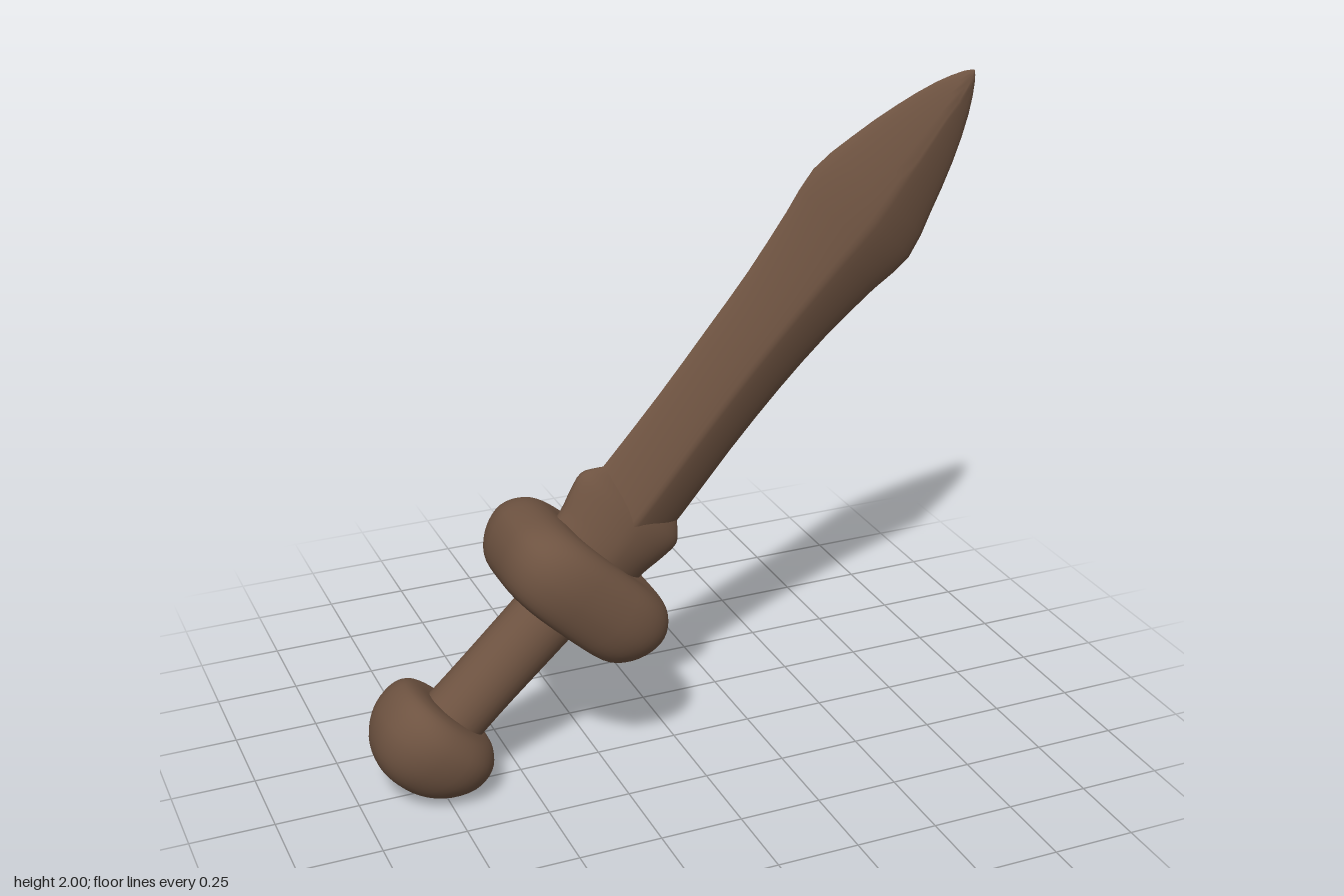
import * as THREE from 'three';
import { toCreasedNormals } from 'three/addons/utils/BufferGeometryUtils.js';

// Lofts superellipse rings along +y. Each section is [y, left reach, right reach, half depth].
function loft(sections, { power = 2, sides = 40, steps = 1 } = {}) {
  const last = sections.length - 1;
  const spine = new THREE.CatmullRomCurve3(sections.map(([y, l, r]) => new THREE.Vector3(y, l, r)));
  const depth = new THREE.CatmullRomCurve3(sections.map(([y, , , d]) => new THREE.Vector3(y, d, 0)));
  const rings = last * steps;
  const curve = (v) => Math.sign(v) * Math.abs(v) ** (2 / power);
  const pos = [], idx = [];
  for (let i = 0; i <= rings; i++) {
    const p = spine.getPoint(i / rings), d = depth.getPoint(i / rings).y;
    const mid = (p.z - p.y) / 2, half = (p.y + p.z) / 2;
    for (let j = 0; j < sides; j++) {
      const a = (j / sides) * Math.PI * 2;
      pos.push(mid + half * curve(Math.cos(a)), p.x, d * curve(Math.sin(a)));
    }
  }
  for (let i = 0; i < rings; i++) {
    for (let j = 0; j < sides; j++) {
      const k = (j + 1) % sides;
      const a = i * sides + j, b = a + sides, c = i * sides + k, e = c + sides;
      idx.push(a, b, c, b, e, c);
    }
  }
  const geo = new THREE.BufferGeometry();
  geo.setAttribute('position', new THREE.Float32BufferAttribute(pos, 3));
  geo.setIndex(idx);
  geo.computeVertexNormals();
  return geo;
}

export function createModel() {
  const brown = new THREE.MeshStandardMaterial({ color: 0x6e5341 });
  brown.name = 'brown';
  const sword = new THREE.Group();
  sword.name = 'sword';
  const add = (name, geo) => {
    const mesh = new THREE.Mesh(geo, brown);
    mesh.name = name;
    sword.add(mesh);
  };

  // Domed pommel with a flatter upper face
  add('pommel', loft([
    [-0.148, 0.002, 0.002, 0.002],
    [-0.138, 0.07, 0.08, 0.075],
    [-0.095, 0.132, 0.155, 0.135],
    [-0.02, 0.172, 0.208, 0.176],
    [0.05, 0.175, 0.208, 0.182],
    [0.098, 0.155, 0.172, 0.155],
    [0.115, 0.11, 0.125, 0.11],
    [0.108, 0.03, 0.05, 0.04],
  ], { power: 2.3, steps: 4 }));

  // Round grip
  add('grip', loft([
    [0.05, 0.08, 0.122, 0.098],
    [0.2, 0.07, 0.128, 0.095],
    [0.38, 0.062, 0.142, 0.093],
    [0.6, 0.052, 0.158, 0.096],
  ], { sides: 28, steps: 3 }));

  // Chunky rounded guard
  add('guard', loft([
    [0.52, 0.02, 0.1, 0.05],
    [0.508, 0.13, 0.225, 0.155],
    [0.53, 0.19, 0.285, 0.2],
    [0.6, 0.236, 0.337, 0.232],
    [0.67, 0.244, 0.348, 0.234],
    [0.73, 0.205, 0.312, 0.212],
    [0.758, 0.14, 0.245, 0.165],
    [0.745, 0.03, 0.11, 0.06],
  ], { power: 3.2, sides: 56, steps: 4 }));

  // Flared collar at the foot of the blade
  add('bladeCollar', loft([
    [0.68, 0.125, 0.205, 0.1],
    [0.78, 0.135, 0.215, 0.102],
    [0.84, 0.153, 0.232, 0.095],
    [0.9, 0.164, 0.242, 0.078],
    [0.94, 0.135, 0.212, 0.05],
    [0.99, 0.08, 0.15, 0.01],
  ], { power: 1.7, steps: 3 }));

  // Leaf-shaped blade with a central ridge and sharp edges
  const outline = [
    [0.8, 0.12, 0.195, 0.09],
    [0.98, 0.122, 0.194, 0.083],
    [1.22, 0.13, 0.181, 0.078],
    [1.45, 0.145, 0.178, 0.078],
    [1.65, 0.16, 0.187, 0.08],
    [1.85, 0.187, 0.212, 0.084],
    [1.99, 0.208, 0.236, 0.085],
    [2.13, 0.178, 0.195, 0.072],
    [2.28, 0.13, 0.142, 0.052],
    [2.41, 0.075, 0.08, 0.032],
    [2.49, 0.025, 0.025, 0.014],
    [2.512, 0.002, 0.002, 0.002],
  ];
  add('blade', toCreasedNormals(loft(outline, { power: 1.25, sides: 32, steps: 2 }), 0.7));

  // Lean the sword so that it rests on the pommel with its tip up to the side
  sword.rotation.z = -THREE.MathUtils.degToRad(43.5);
  sword.position.set(-0.79, 0.18, 0);
  const model = new THREE.Group();
  model.name = 'leaningSword';
  model.add(sword);
  return model;
}
